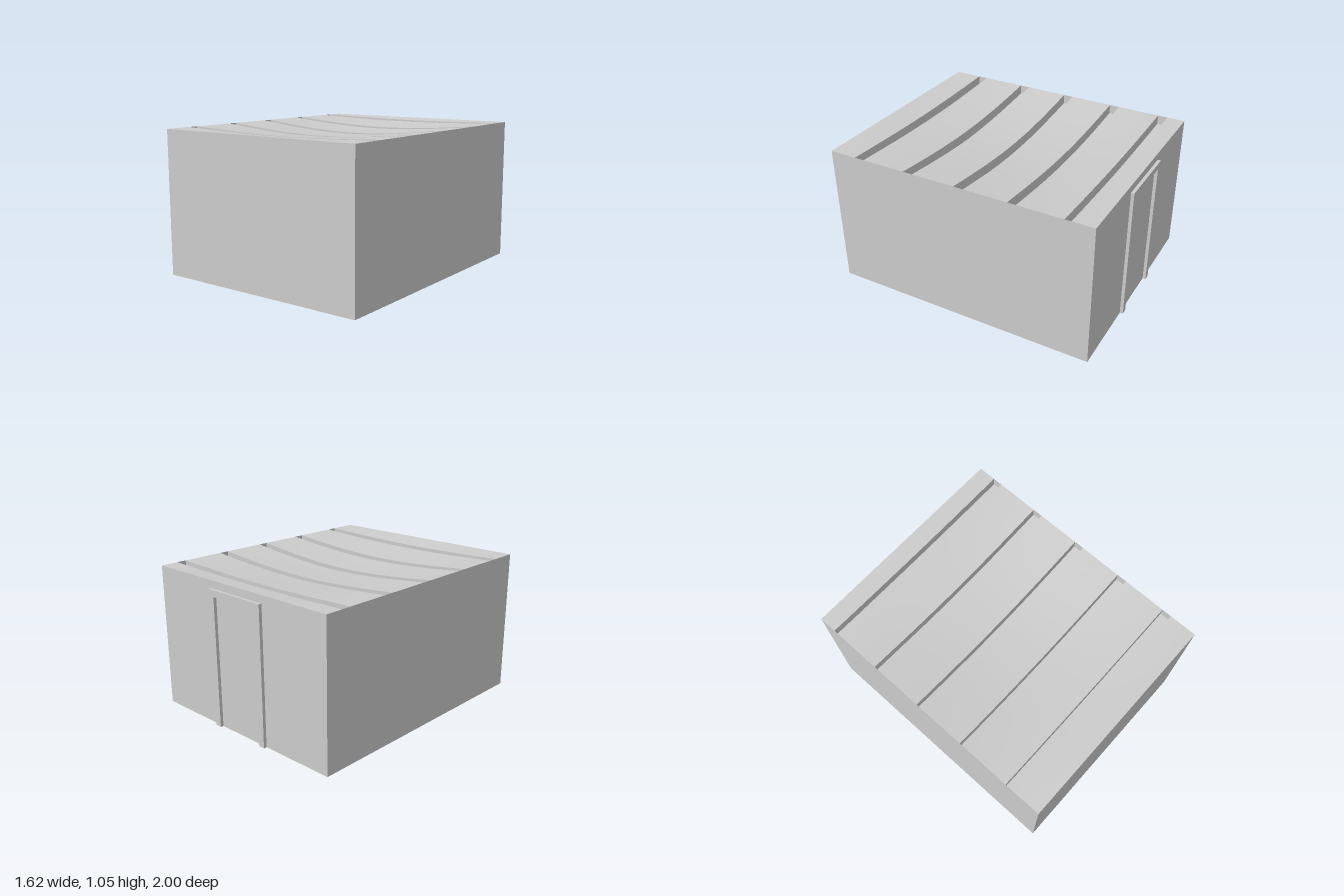
import * as THREE from 'three';
import { toCreasedNormals } from 'three/addons/utils/BufferGeometryUtils.js';

const HALF_W = 0.81, HEIGHT = 1.05, BACK = -0.977, FRONT = 1;
const MID_Z = (BACK + FRONT) / 2, LENGTH = FRONT - BACK;
const SAG = 0.06, GROOVE_W = 0.073, GROOVE_D = 0.07;
const GROOVES = [-0.81, -0.42, -0.028, 0.363, 0.76]; // centre z of each groove

// Height of the sagging roof, level along all four walls
function roofHeight(x, z) {
  const u = Math.cos((x / HALF_W) * Math.PI / 2);
  const v = Math.cos(((z - MID_Z) / (LENGTH / 2)) * Math.PI / 2);
  return HEIGHT - SAG * u * v;
}

// Roof profile along z as [z, depth], lofted across x
function roofGeometry() {
  const profile = [];
  let start = BACK;
  const addPanel = (end) => {
    for (let k = 0; k <= 4; k++) profile.push([start + (end - start) * k / 4, 0]);
  };
  for (const z of GROOVES) {
    const a = z - GROOVE_W / 2, b = z + GROOVE_W / 2;
    addPanel(a);
    profile.push([a, GROOVE_D], [b, GROOVE_D]);
    start = b;
  }
  addPanel(FRONT);

  const steps = 16, n = profile.length, positions = [], indices = [];
  for (let i = 0; i <= steps; i++) {
    const x = -HALF_W + 2 * HALF_W * i / steps;
    for (const [z, depth] of profile) positions.push(x, roofHeight(x, z) - depth, z);
  }
  for (let i = 0; i < steps; i++) {
    for (let j = 0; j < n - 1; j++) {
      const a = i * n + j, b = a + 1, c = a + n, d = c + 1;
      indices.push(a, b, c, b, d, c);
    }
  }
  const geometry = new THREE.BufferGeometry();
  geometry.setAttribute('position', new THREE.Float32BufferAttribute(positions, 3));
  geometry.setIndex(indices);
  return toCreasedNormals(geometry, Math.PI / 6);
}

// Walls and floor: a box without its top face
function shellGeometry() {
  const box = new THREE.BoxGeometry(2 * HALF_W, HEIGHT, LENGTH);
  const index = Array.from(box.index.array);
  index.splice(12, 6);
  box.setIndex(index);
  box.clearGroups();
  return box.translate(0, HEIGHT / 2, MID_Z);
}

// Door surround: an upside-down U
function frameGeometry() {
  const w = 0.25, h = 0.995, t = 0.047;
  const shape = new THREE.Shape([
    [-w, 0], [-w + t, 0], [-w + t, h - t], [w - t, h - t],
    [w - t, 0], [w, 0], [w, h], [-w, h],
  ].map(([x, y]) => new THREE.Vector2(x, y)));
  return new THREE.ExtrudeGeometry(shape, { depth: BACK + 1, bevelEnabled: false }).translate(0, 0, -1);
}

export function createModel() {
  const group = new THREE.Group();
  const material = new THREE.MeshStandardMaterial({ color: 0xcccccc, side: THREE.DoubleSide });
  const add = (name, geometry) => {
    const mesh = new THREE.Mesh(geometry, material);
    mesh.name = name;
    group.add(mesh);
  };
  add('wallsAndFloor', shellGeometry());
  add('saggingRoof', roofGeometry());
  add('doorFrame', frameGeometry());
  return group;
}
